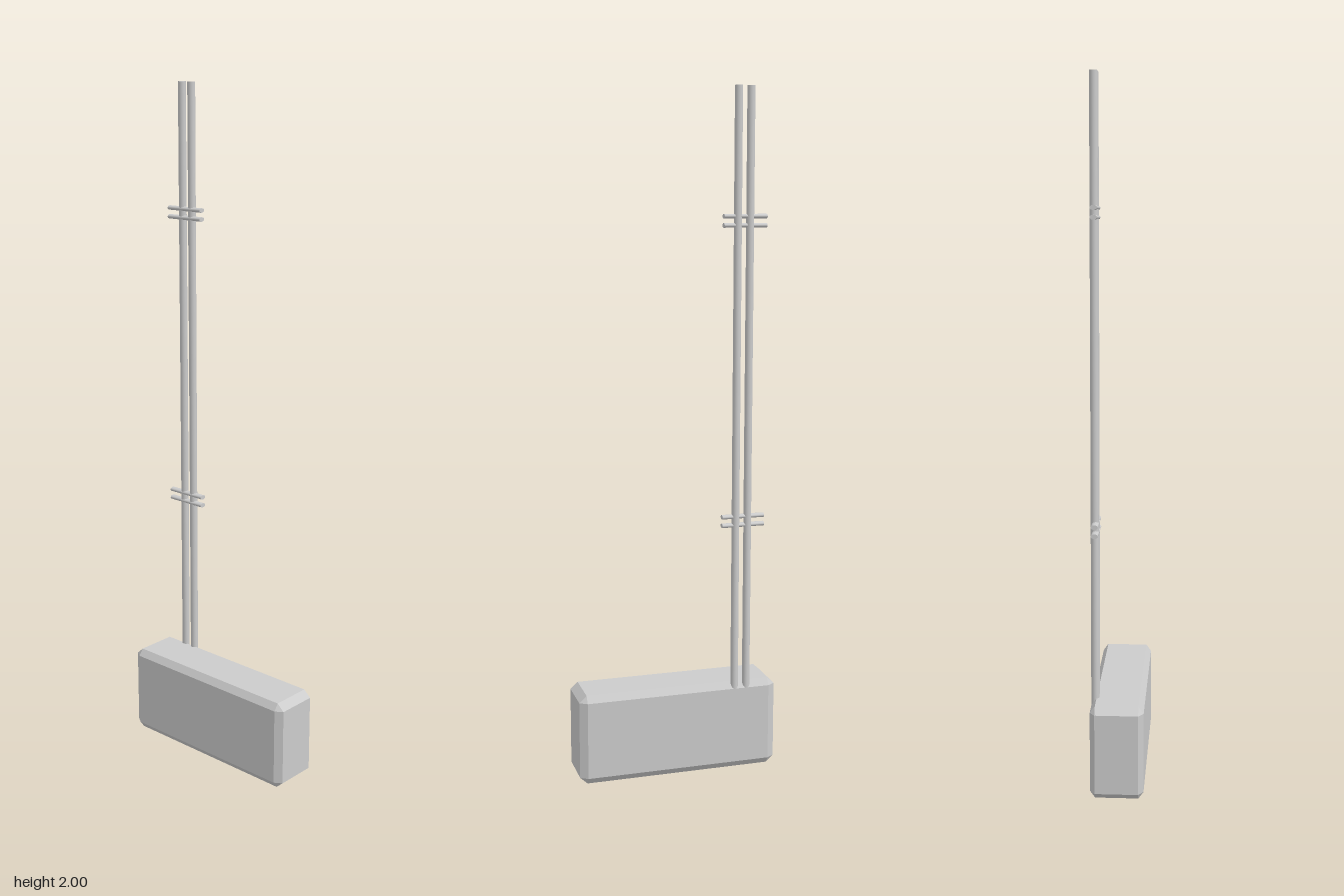
import * as THREE from 'three';
import { ConvexGeometry } from 'three/addons/geometries/ConvexGeometry.js';

const material = new THREE.MeshStandardMaterial({ color: 0xcccccc });

function add(parent, name, geometry, x, y, z) {
  const mesh = new THREE.Mesh(geometry, material);
  mesh.name = name;
  mesh.position.set(x, y, z);
  parent.add(mesh);
  return mesh;
}

// Box with every edge cut flat: each corner becomes three points
function chamferedBox(half, cut) {
  const points = [];
  for (const sx of [-1, 1]) for (const sy of [-1, 1]) for (const sz of [-1, 1]) {
    for (let face = 0; face < 3; face++) {
      const [x, y, z] = half.map((h, axis) => (axis === face ? h : h - cut[axis]));
      points.push(new THREE.Vector3(sx * x, sy * y, sz * z));
    }
  }
  return new ConvexGeometry(points);
}

export function createModel() {
  const model = new THREE.Group();
  model.name = 'tankWithPipes';

  // Chamfered tank
  add(model, 'tank', chamferedBox([0.3, 0.135, 0.0755], [0.022, 0.02, 0.0145]), 0, 0.135, 0);

  // Two upright pipes rising from the back edge
  const pipeBottom = 0.25, pipeTop = 2;
  const pipe = new THREE.CylinderGeometry(0.0113, 0.0113, pipeTop - pipeBottom, 24);
  for (const x of [-0.209, -0.1725]) {
    add(model, 'pipe', pipe, x, (pipeTop + pipeBottom) / 2, -0.065);
  }

  // Pairs of oval cross bars clamping the pipes together
  const bar = new THREE.CylinderGeometry(0.01, 0.01, 0.128, 20);
  bar.rotateZ(Math.PI / 2);
  bar.scale(1, 0.65, 1);
  for (const y of [0.762, 1.629]) {
    const bracket = new THREE.Group();
    bracket.name = 'pipeBracket';
    model.add(bracket);
    for (const side of [-1, 1]) {
      add(bracket, 'crossBar', bar, -0.195, y + side * 0.0128, -0.0625);
    }
  }

  return model;
}
